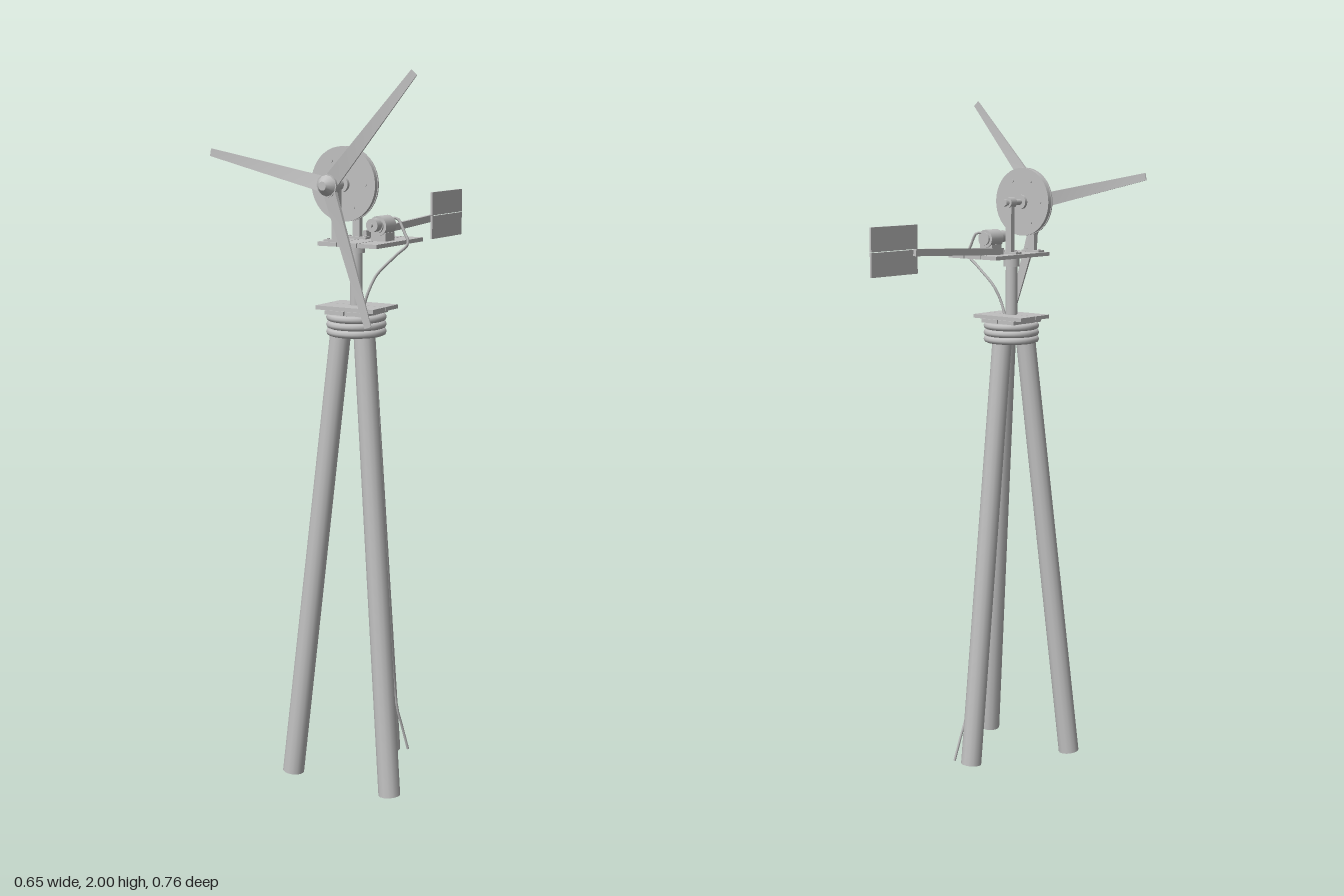
import * as THREE from 'three';

const V = (x, y, z) => new THREE.Vector3(x, y, z);
const CX = 0.057, CZ = 0.208, SHAFT_Y = 1.703;

export function createModel() {
  const model = new THREE.Group();
  const grey = new THREE.MeshStandardMaterial({ color: 0xc0c0c0 });
  grey.name = 'plain grey';

  const add = (name, geo, x = 0, y = 0, z = 0) => {
    const m = new THREE.Mesh(geo, grey);
    m.name = name;
    m.position.set(x, y, z);
    model.add(m);
    return m;
  };
  const box = (name, w, h, d, x, y, z) => add(name, new THREE.BoxGeometry(w, h, d), x, y, z);
  // Round bar from a (radius ra) to b (radius rb)
  const rod = (name, a, b, ra, rb = ra, sides = 16) => {
    const dir = b.clone().sub(a);
    const m = add(name, new THREE.CylinderGeometry(rb, ra, dir.length(), sides));
    m.position.copy(a).addScaledVector(dir, 0.5);
    m.quaternion.setFromUnitVectors(V(0, 1, 0), dir.normalize());
    return m;
  };
  const axial = (name, z0, z1, r0, r1 = r0, x = CX, y = SHAFT_Y, sides = 16) =>
    rod(name, V(x, y, z0), V(x, y, z1), r0, r1, sides);
  const cable = (name, pts, r = 0.004) =>
    add(name, new THREE.TubeGeometry(new THREE.CatmullRomCurve3(pts), 32, r, 6));

  // Tripod of three poles, one at the back
  for (let i = 0; i < 3; i++) {
    const a = -Math.PI / 2 + i * Math.PI * 2 / 3;
    const at = (r, y) => V(CX + r * Math.cos(a), y, CZ + r * Math.sin(a));
    rod('leg', at(0.187, 0.0035), at(0.038, 1.345), 0.031, 0.029, 14);
  }

  // Rope binding around the pole tops
  for (let i = 0; i < 3; i++) {
    const ring = add('ropeBinding', new THREE.TorusGeometry(0.073, 0.0105, 8, 32), CX, 1.299 + i * 0.02, CZ);
    ring.rotation.x = Math.PI / 2;
  }

  // Lower deck: crossed boards
  for (const s of [-1, 1]) {
    box('lowerDeckBoard', 0.184, 0.011, 0.065, CX + 0.001, 1.366, CZ + s * 0.034);
    box('lowerDeckBearer', 0.06, 0.011, 0.13, CX + s * 0.032, 1.354, CZ);
  }

  // Mast and swivel collar
  rod('mast', V(CX, 1.36, CZ), V(CX, 1.54, CZ), 0.0175);
  rod('mastCollar', V(CX, 1.515, CZ), V(CX, 1.542, CZ), 0.024);

  // Upper deck of three boards
  for (const x of [0.04, 0.1015, 0.1645]) box('upperDeckBoard', 0.059, 0.011, 0.25, x, 1.547, 0.205);

  // Bearing stands with bolted feet
  for (const z of [0.2, 0.308]) {
    box('standFoot', 0.066, 0.006, 0.026, CX, 1.555, z);
    box('standPost', 0.022, 0.145, 0.016, CX, 1.625, z);
    axial('bearing', z - 0.013, z + 0.013, 0.016);
    for (const s of [-1, 1]) rod('footBolt', V(CX + s * 0.025, 1.556, z), V(CX + s * 0.025, 1.561, z), 0.004, 0.004, 6);
  }

  // Shaft and friction wheel with bolts
  axial('shaft', 0.172, 0.345, 0.0085);
  axial('shaftNut', 0.172, 0.183, 0.0105, 0.0105, CX, SHAFT_Y, 6);
  axial('wheel', 0.258, 0.272, 0.098, 0.098, CX, SHAFT_Y, 40);
  for (const z of [0.255, 0.271]) axial('wheelRim', z, z + 0.004, 0.1, 0.1, CX, SHAFT_Y, 40);
  axial('wheelHub', 0.245, 0.285, 0.021);
  for (let i = 0; i < 6; i++) {
    const a = i * Math.PI / 3;
    axial('wheelBolt', 0.252, 0.278, 0.004, 0.004, CX + 0.07 * Math.cos(a), SHAFT_Y + 0.07 * Math.sin(a), 6);
  }

  // Generator driven by the wheel edge
  const gx = 0.147, gy = 1.593;
  axial('generator', 0.192, 0.246, 0.027, 0.027, gx, gy, 20);
  axial('generatorCap', 0.186, 0.252, 0.019, 0.019, gx, gy, 16);
  axial('generatorRoller', 0.252, 0.276, 0.018, 0.018, gx, gy + 0.004, 16);
  axial('generatorShaft', 0.24, 0.285, 0.005, 0.005, gx, gy + 0.004, 8);
  box('generatorMount', 0.046, 0.024, 0.046, gx, 1.563, 0.219);

  // Output cable down to the mast, then along the back pole to the ground
  cable('upperCable', [V(0.158, 1.61, 0.19), V(0.17, 1.61, 0.18), V(0.19, 1.575, 0.178), V(0.202, 1.545, 0.178),
    V(0.165, 1.51, 0.18), V(0.11, 1.455, 0.188), V(0.09, 1.41, 0.198), V(0.075, 1.365, 0.2)]);
  cable('lowerCable', [V(0.075, 1.365, 0.2), V(0.087, 1.28, 0.175), V(0.09, 0.7, 0.108), V(0.091, 0.16, 0.042),
    V(0.097, 0.08, 0.018), V(0.108, 0.006, 0.002)]);

  // Tail boom and two-board vane
  const boom = box('tailBoom', 0.011, 0.02, 0.38, 0.0575, 1.57, -0.025);
  boom.rotation.x = 0.047;
  for (const s of [-1, 1]) box('tailVaneBoard', 0.006, 0.067, 0.184, 0.067, 1.587 + s * 0.0345, -0.288);

  // Rotor hub with nose cone
  axial('rotorHub', 0.335, 0.357, 0.031, 0.031, CX, SHAFT_Y, 12);
  axial('noseCone', 0.357, 0.378, 0.028, 0.012, CX, SHAFT_Y, 12);

  // Three tapered, slightly pitched blades
  for (let i = 0; i < 3; i++) {
    const g = new THREE.BoxGeometry(0.372, 1, 1, 6, 1, 1);
    const p = g.attributes.position;
    for (let k = 0; k < p.count; k++) {
      const t = p.getX(k) / 0.372 + 0.5;
      const w = p.getY(k) * THREE.MathUtils.lerp(0.042, 0.021, t);
      const d = p.getZ(k) * THREE.MathUtils.lerp(0.009, 0.003, t);
      const pitch = 0.18 * (1 - t);
      p.setXYZ(k, 0.016 + t * 0.372, w * Math.cos(pitch) - d * Math.sin(pitch), w * Math.sin(pitch) + d * Math.cos(pitch));
    }
    g.computeVertexNormals();
    const blade = add('rotorBlade', g, CX, SHAFT_Y, 0.348);
    blade.rotation.z = THREE.MathUtils.degToRad(48.3 + 120 * i);
  }
  return model;
}
